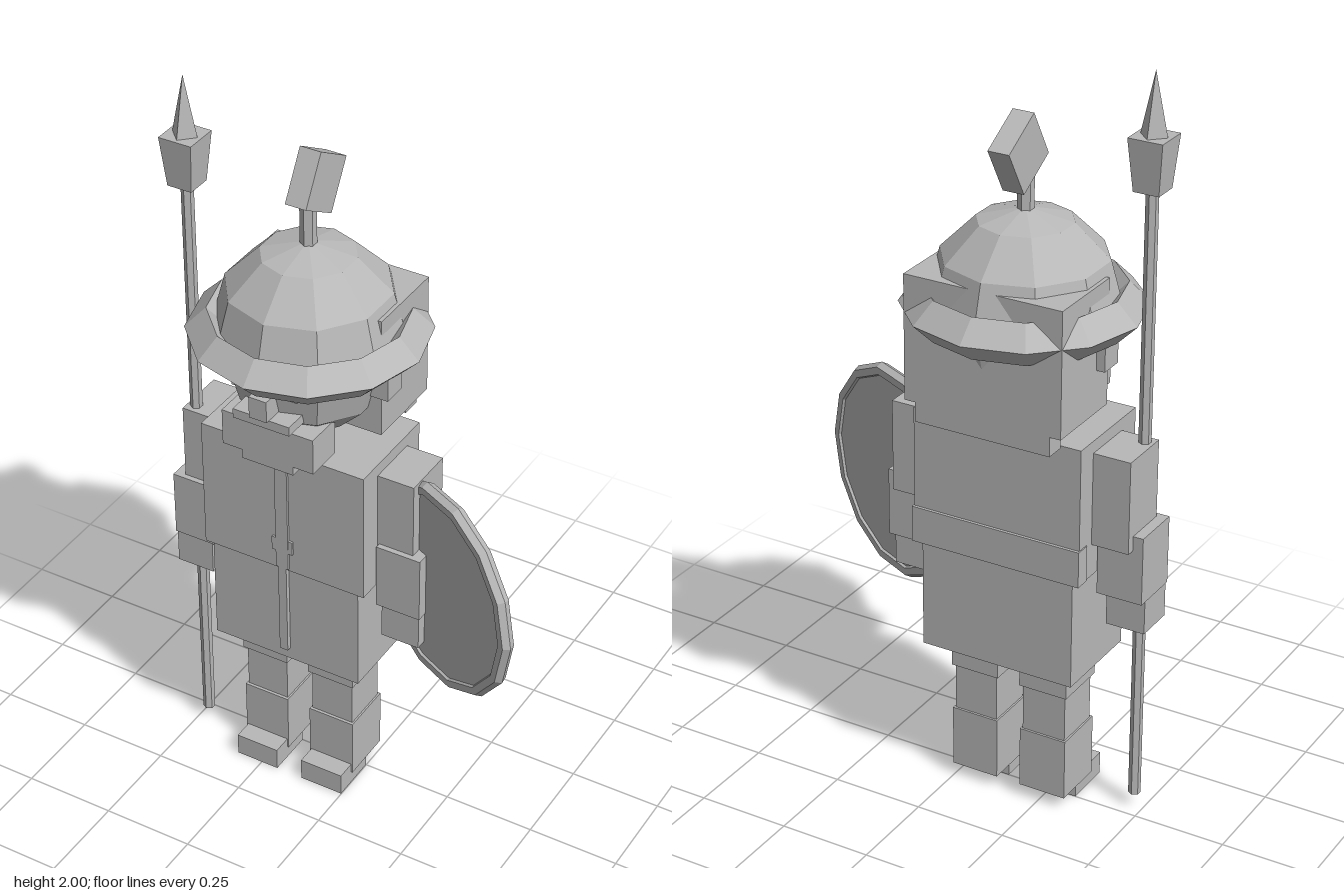
import * as THREE from 'three';

export function createModel() {
  const model = new THREE.Group();
  const grey = new THREE.MeshStandardMaterial({ color: 0xb8b8b8, flatShading: true });
  grey.name = 'plain grey';
  const CX = -0.16; // centre line of the figure

  function add(name, geometry, x = 0, y = 0, z = 0, parent = model) {
    const mesh = new THREE.Mesh(geometry, grey);
    mesh.name = name;
    mesh.position.set(x, y, z);
    parent.add(mesh);
    return mesh;
  }
  // Box given by its limits on each axis
  function box(name, x0, x1, y0, y1, z0, z1, parent = model) {
    return add(name, new THREE.BoxGeometry(x1 - x0, y1 - y0, z1 - z0),
      (x0 + x1) / 2, (y0 + y1) / 2, (z0 + z1) / 2, parent);
  }

  const figure = new THREE.Group();
  figure.name = 'figure';
  figure.position.x = CX;
  model.add(figure);
  // Box centred on the figure's own axis
  const mid = (name, half, y0, y1, z0, z1) => box(name, -half, half, y0, y1, z0, z1, figure);

  // Coat
  mid('coatTop', 0.235, 0.712, 1.083, -0.135, 0.143);
  mid('coatSkirt', 0.215, 0.415, 0.712, -0.13, 0.137);
  mid('backBelt', 0.238, 0.712, 0.81, -0.143, -0.1);
  mid('coatFastening', 0.018, 0.72, 1.08, 0.13, 0.15);
  mid('fasteningTail', 0.012, 0.45, 0.72, 0.13, 0.15);
  mid('buckle', 0.03, 0.77, 0.81, 0.13, 0.149);

  for (const side of [-1, 1]) {
    // Legs and boots
    const lx = side * 0.1 - 0.003;
    const leg = (name, half, y0, y1, z0, z1) => box(name, lx - half, lx + half, y0, y1, z0, z1, figure);
    leg('trouserCuff', 0.068, 0.335, 0.425, -0.072, 0.08);
    leg('leg', 0.061, 0.2, 0.335, -0.064, 0.07);
    leg('bootShaft', 0.066, 0.035, 0.205, -0.07, 0.078);
    leg('foot', 0.062, 0, 0.063, 0.0, 0.132);

    // Arms and hands
    const arm = (name, near, far, y0, y1, z0, z1) =>
      box(name, Math.min(side * near, side * far), Math.max(side * near, side * far), y0, y1, z0, z1, figure);
    arm('upperArm', 0.235, 0.337, 0.8, 1.05, -0.073, 0.073);
    arm('forearm', 0.24, 0.365, 0.655, 0.84, -0.05, 0.088);
    arm('hand', 0.255, 0.362, 0.56, 0.655, -0.025, 0.085);

    // Ears and eyes
    arm('ear', 0.19, 0.24, 1.25, 1.33, -0.033, 0.033);
    arm('eye', 0.055, 0.092, 1.3, 1.325, 0.18, 0.212);
  }

  // Head, hair and beard
  const head = add('head', new THREE.SphereGeometry(0.217, 10, 6), 0, 1.315, 0, figure);
  head.rotation.y = Math.PI / 2;
  mid('hair', 0.217, 1.137, 1.47, -0.205, 0.025);
  mid('neckFlap', 0.187, 1.085, 1.137, -0.205, -0.15);
  mid('nose', 0.025, 1.24, 1.3, 0.18, 0.245);
  mid('moustache', 0.08, 1.212, 1.238, 0.15, 0.232);
  mid('beard', 0.13, 1.1, 1.2, 0.1, 0.205);
  mid('beardTip', 0.073, 1.075, 1.12, 0.13, 0.205);

  // Helmet with brim and plume
  const dome = add('helmetDome',
    new THREE.SphereGeometry(0.243, 10, 3, 0, Math.PI * 2, 0, Math.PI / 2), 0, 1.374, 0, figure);
  dome.rotation.y = Math.PI / 2;
  const brim = add('helmetBrim', new THREE.TorusGeometry(0.252, 0.055, 4, 12), 0, 1.37, 0, figure);
  brim.rotation.x = Math.PI / 2;
  add('plumeStem', new THREE.CylinderGeometry(0.021, 0.021, 0.17, 6), 0, 1.68, 0, figure);
  const plume = add('plume', new THREE.BoxGeometry(0.058, 0.142, 0.135), 0, 1.766, -0.037, figure);
  plume.rotation.x = -0.53;

  // Spear
  const spear = new THREE.Group();
  spear.name = 'spear';
  spear.position.set(-0.473, 0, 0.045);
  model.add(spear);
  add('spearShaft', new THREE.CylinderGeometry(0.016, 0.016, 1.68, 6), 0, 0.88, 0, spear);
  const socket = new THREE.CylinderGeometry(0.046 * Math.SQRT2, 0.034 * Math.SQRT2, 0.135, 4);
  add('spearSocket', socket.rotateY(Math.PI / 4), 0, 1.773, 0, spear);
  add('spearPoint', new THREE.ConeGeometry(0.036, 0.16, 4), 0, 1.92, 0, spear);

  // Round shield, angled forward and outward
  const shield = new THREE.Group();
  shield.name = 'shield';
  shield.position.set(0.255, 0.77, 0.068);
  shield.rotation.y = -0.45;
  model.add(shield);
  add('shieldRim', new THREE.TorusGeometry(0.273, 0.02, 6, 14), 0, 0, 0, shield);
  const face = new THREE.CylinderGeometry(0.27, 0.27, 0.022, 14);
  add('shieldFace', face.rotateY(Math.PI / 2).rotateX(Math.PI / 2), 0, 0, 0, shield);

  return model;
}
